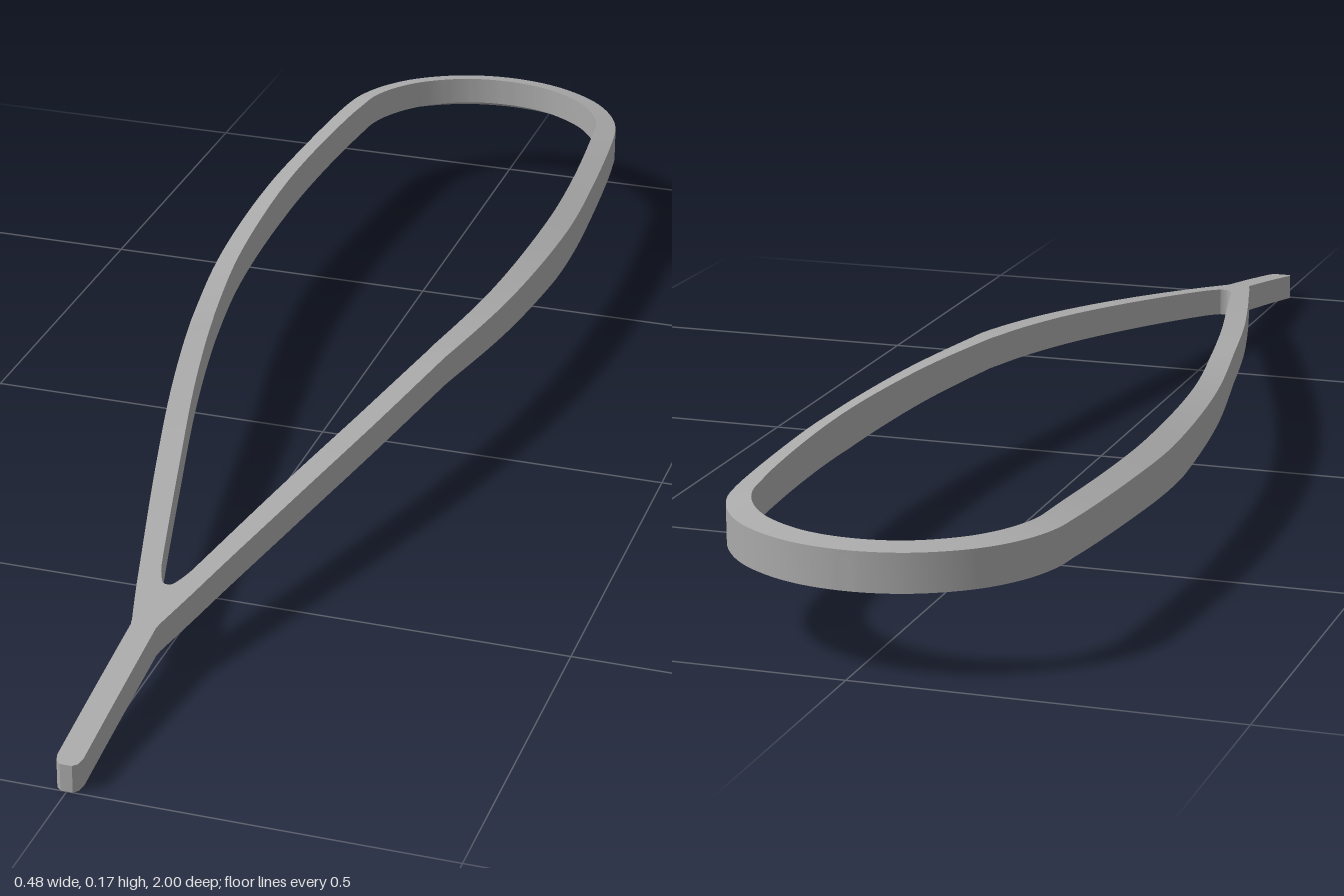
import * as THREE from 'three';
import { toCreasedNormals } from 'three/addons/utils/BufferGeometryUtils.js';

// Piecewise-linear lookup in [z, value] pairs sorted by falling z
function lookup(table, z) {
  for (let i = 1; i < table.length; i++) {
    const [z0, v0] = table[i - 1], [z1, v1] = table[i];
    if (z >= z1) return THREE.MathUtils.lerp(v0, v1, Math.min(1, Math.max(0, (z0 - z) / (z0 - z1))));
  }
  return table[table.length - 1][1];
}

// Heights behind z = 0, where the band twists slightly outward
const topInner = [[0, 0.165], [-0.4, 0.172], [-0.75, 0.175], [-1, 0.17]];
const topOuter = [[0, 0.163], [-0.45, 0.161], [-0.8, 0.166], [-1, 0.165]];
const lowInner = [[0, 0.121], [-0.45, 0.119], [-0.8, 0.127], [-1, 0.13]];
const lowOuter = [[0, 0.119], [-0.4, 0.105], [-0.8, 0.117], [-1, 0.114]];

// Top and bottom heights; the front half bows downward
function heights(z, inner) {
  if (z > 0) {
    const top = 0.164 - 0.124 * Math.pow(z, 1.4);
    return [top, top - 0.044 + 0.006 * z];
  }
  return [lookup(inner ? topInner : topOuter, z), lookup(inner ? lowInner : lowOuter, z)];
}

// Skin a row of four-cornered sections
function loft(sections, closed) {
  const pos = sections.flat(2), index = [], n = sections.length;
  for (let i = 0; i < (closed ? n : n - 1); i++) {
    const a = i * 4, b = ((i + 1) % n) * 4;
    for (let k = 0; k < 4; k++) {
      const l = (k + 1) % 4;
      index.push(a + k, b + k, a + l, a + l, b + k, b + l);
    }
  }
  if (!closed) {
    const e = (n - 1) * 4;
    index.push(0, 1, 2, 0, 2, 3, e, e + 2, e + 1, e, e + 3, e + 2);
  }
  const g = new THREE.BufferGeometry();
  g.setAttribute('position', new THREE.Float32BufferAttribute(pos, 3));
  g.setIndex(index);
  return toCreasedNormals(g, 0.6);
}

// Section through points a and b on the ground plan
function section(a, b, aInner, bInner) {
  const [ta, la] = heights(a.z, aInner), [tb, lb] = heights(b.z, bInner);
  return [[a.x, ta, a.z], [b.x, tb, b.z], [b.x, lb, b.z], [a.x, la, a.z]];
}

// Closed smooth loop from half a plan outline, first and last points on the axis
function loop(half) {
  const mirrored = half.slice(1, -1).reverse().map(([x, z]) => [-x, z]);
  return new THREE.CatmullRomCurve3(
    [...half, ...mirrored].map(([x, z]) => new THREE.Vector3(x, 0, z)), true, 'centripetal');
}

export function createModel() {
  const group = new THREE.Group();
  const grey = new THREE.MeshStandardMaterial({ color: 0xaaaaaa });
  grey.name = 'grey';

  const add = (name, geometry) => {
    const mesh = new THREE.Mesh(geometry, grey);
    mesh.name = name;
    group.add(mesh);
  };

  // Teardrop loop
  const outer = loop([[0, 0.73], [0.016, 0.73], [0.019, 0.72], [0.036, 0.66], [0.052, 0.6], [0.105, 0.4],
    [0.154, 0.2], [0.194, 0], [0.225, -0.2], [0.241, -0.45], [0.236, -0.62], [0.222, -0.8],
    [0.213, -0.85], [0.19, -0.9], [0.149, -0.947], [0.078, -0.987], [0, -1]]);
  const inner = loop([[0, 0.642], [0.006, 0.64], [0.011, 0.632], [0.019, 0.612], [0.025, 0.59], [0.075, 0.39],
    [0.124, 0.19], [0.164, -0.006], [0.194, -0.2], [0.209, -0.45], [0.205, -0.62], [0.191, -0.79],
    [0.184, -0.838], [0.164, -0.882], [0.129, -0.923], [0.067, -0.959], [0, -0.97]]);
  const ring = [], N = 256;
  for (let i = 0; i < N; i++) {
    ring.push(section(outer.getPoint(i / N), inner.getPoint(i / N), false, true));
  }
  add('loop', loft(ring, true));

  // Straight handle with a softened tip
  const handle = [];
  for (const [z, w] of [[0.728, 0.017], [0.78, 0.017], [0.84, 0.017], [0.9, 0.017], [0.95, 0.017],
    [0.985, 0.017], [0.995, 0.014], [1, 0.008]]) {
    handle.push(section(new THREE.Vector3(-w, 0, z), new THREE.Vector3(w, 0, z), false, false));
  }
  add('handle', loft(handle, false));

  return group;
}
